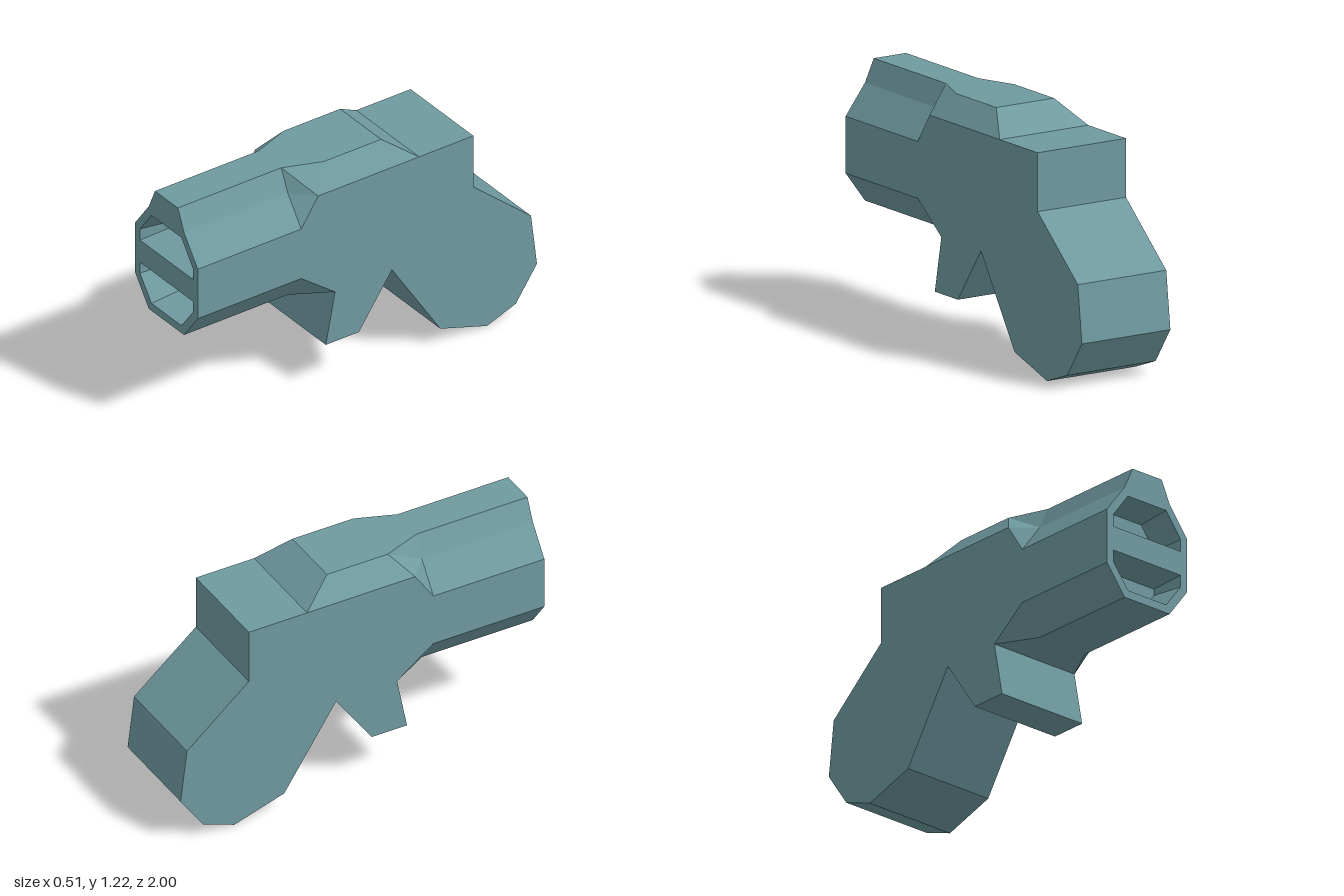
import * as THREE from 'three';

const W = 0.256; // half width of the body

const material = new THREE.MeshStandardMaterial({ color: 0x6f9aa0, flatShading: true });

// Mesh from convex polygons, corners counter-clockwise seen from outside
function polygonMesh(name, polygons) {
  const pos = [];
  for (const p of polygons) {
    for (let i = 1; i < p.length - 1; i++) pos.push(...p[0], ...p[i], ...p[i + 1]);
  }
  const geo = new THREE.BufferGeometry();
  geo.setAttribute('position', new THREE.Float32BufferAttribute(pos, 3));
  geo.computeVertexNormals();
  return named(name, geo);
}

function named(name, geo) {
  const mesh = new THREE.Mesh(geo, material);
  mesh.name = name;
  return mesh;
}

const toShape = (pts) => new THREE.Shape(pts.map(([x, y]) => new THREE.Vector2(x, y)));
const mirror = (polygon) => polygon.map(([x, y, z]) => [-x, y, z]).reverse();

// Counter-clockwise symmetric loop from its right half, listed bottom to top
const symmetric = (half) => [...half, ...half.map(([x, y]) => [-x, y]).reverse()];

export function createModel() {
  const group = new THREE.Group();
  group.name = 'blaster';

  // Rear block, grip and trigger outline as [z, y]
  const lower = [
    [-0.625, 1.11], [-0.625, 0.82], [-0.965, 0.53], [-1, 0.245], [-0.875, 0.065],
    [-0.705, 0.003], [-0.43, 0.09], [-0.145, 0.53], [0.05, 0.25], [0.245, 0.25], [0.19, 0.53],
  ];

  // Flat sides
  const side = [...lower, [0.39, 0.68], [1, 0.68], [1, 0.96], [0.39, 0.96], [0.29, 1.11]];
  const left = new THREE.ShapeGeometry(toShape(side.map(([z, y]) => [-z, y])));
  group.add(named('leftSide', left.rotateY(Math.PI / 2)));
  const right = new THREE.ShapeGeometry(toShape(side));
  group.add(named('rightSide', right.rotateY(-Math.PI / 2)));
  group.children[0].position.x = W;
  group.children[1].position.x = -W;

  // Band across the width: top, back, grip, trigger, underside as [z, y, half width]
  const band = [
    [1, 1.223, 0.093], [0.39, 1.223, 0.093], [0.19, 1.223, 0.167], [-0.145, 1.223, 0.167],
    [-0.305, 1.11, W], ...lower.map(([z, y]) => [z, y, W]),
    [0.39, 0.53, 0.144], [1, 0.53, 0.144],
  ];
  group.add(polygonMesh('outerBand', band.slice(1).map(([z2, y2, w2], i) => {
    const [z1, y1, w1] = band[i];
    return [[-w1, y1, z1], [w1, y1, z1], [w2, y2, z2], [-w2, y2, z2]];
  })));

  // Chamfers of the barrel and the raised top, mirrored
  const ridge = (z) => [0.093, 1.223, z];
  const step = (z) => [0.144, 1.11, z];
  const shoulder = (z) => [W, 0.96, z];
  const belly = (z) => [W, 0.68, z];
  const keel = (z) => [0.144, 0.53, z];
  const flareTop = [0.167, 1.223, 0.19];
  const flareLow = [W, 1.11, 0.29];
  const chamfers = [
    [ridge(1), step(1), step(0.39), ridge(0.39)],
    [step(1), shoulder(1), shoulder(0.39), step(0.39)],
    [step(0.39), shoulder(0.39), flareLow],
    [ridge(0.39), step(0.39), flareLow, flareTop],
    [flareTop, flareLow, [W, 1.11, -0.305], [0.167, 1.223, -0.145]],
    [belly(1), keel(1), keel(0.39), belly(0.39)],
    [belly(0.39), keel(0.39), [W, 0.53, 0.19]],
  ];
  group.add(polygonMesh('chamfers', [...chamfers, ...chamfers.map(mirror)]));

  // Muzzle face with two tapered recesses
  const muzzle = toShape(symmetric([keel(1), belly(1), shoulder(1), step(1), ridge(1)]));
  const recesses = [
    ['upperRecess', [[0.215, 0.882], [0.215, 0.945], [0.122, 1.07]],
      [[0.194, 0.904], [0.194, 0.937], [0.113, 1.049]]],
    ['lowerRecess', [[0.122, 0.572], [0.215, 0.695], [0.215, 0.757]],
      [[0.113, 0.592], [0.194, 0.702], [0.194, 0.736]]],
  ];
  const floorZ = 0.83;
  for (const [name, outerHalf, innerHalf] of recesses) {
    const outer = symmetric(outerHalf);
    const inner = symmetric(innerHalf);
    muzzle.holes.push(toShape(outer));
    const walls = outer.map((a, i) => {
      const j = (i + 1) % outer.length;
      return [[...a, 1], [...outer[j], 1], [...inner[j], floorZ], [...inner[i], floorZ]];
    });
    group.add(polygonMesh(name, [...walls, inner.map((p) => [...p, floorZ])]));
  }
  const face = named('muzzleFace', new THREE.ShapeGeometry(muzzle));
  face.position.z = 1;
  group.add(face);

  return group;
}
